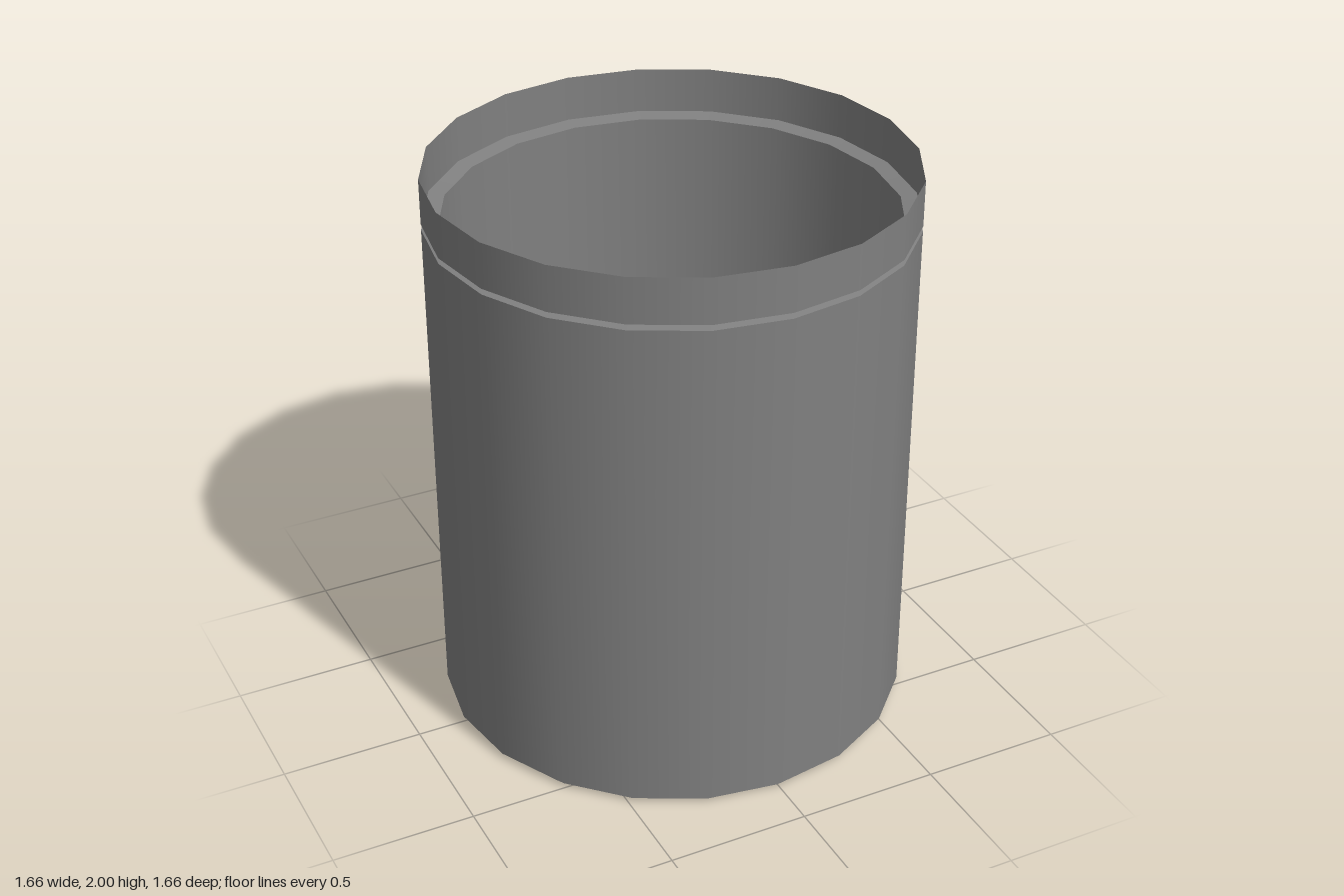
import * as THREE from 'three';
import { mergeVertices } from 'three/addons/utils/BufferGeometryUtils.js';

const SIDES = 20;

function material(color) {
  return new THREE.MeshStandardMaterial({ color, side: THREE.DoubleSide });
}

export function createModel() {
  const group = new THREE.Group();
  const bodyMaterial = material(0x808080);

  function add(name, geometry, mat) {
    const mesh = new THREE.Mesh(geometry, mat);
    mesh.name = name;
    group.add(mesh);
    return mesh;
  }

  // Thin-walled can, one band per profile segment so its edges stay crisp
  const profile = [[0.62, 0], [0.81, 0], [0.81, 0.015], [0.83, 0.02],
    [0.83, 1.82], [0.775, 1.83], [0.83, 1.84], [0.83, 2]];
  const names = ['bottomRing', 'footEdge', 'footBevel', 'wall',
    'grooveLower', 'grooveUpper', 'rim'];
  names.forEach((name, i) => {
    const points = [profile[i], profile[i + 1]].map(p => new THREE.Vector2(...p));
    add(name, new THREE.LatheGeometry(points, SIDES), bodyMaterial);
  });

  // Inner reflector: twenty-sided mouth closing to a ten-sided neck
  const height = 0.8, neck = 0.235;
  let cone = new THREE.CylinderGeometry(neck, 0.62, height, SIDES, 1, true);
  cone.translate(0, height / 2, 0);
  const pos = cone.attributes.position;
  for (let i = 0; i <= SIDES; i++) {
    const angle = (Math.floor(i / 2) + 0.25) * Math.PI / 5;
    pos.setXYZ(i, neck * Math.sin(angle), height, neck * Math.cos(angle));
  }
  cone.deleteAttribute('uv');
  cone.deleteAttribute('normal');
  cone = mergeVertices(cone, 1e-4);
  cone.computeVertexNormals();
  add('reflector', cone, bodyMaterial);

  // Pale lamp disc closing the neck
  const disc = new THREE.CircleGeometry(neck, 10, Math.PI / 20);
  disc.rotateX(-Math.PI / 2);
  disc.scale(1, 1, -1);
  // Mirroring flips the winding, so turn the faces and normals back up
  const index = disc.index;
  for (let i = 0; i < index.count; i += 3) {
    const a = index.getX(i);
    index.setX(i, index.getX(i + 1));
    index.setX(i + 1, a);
  }
  disc.computeVertexNormals();
  add('lampDisc', disc, material(0xcccccc)).position.y = height;

  return group;
}
